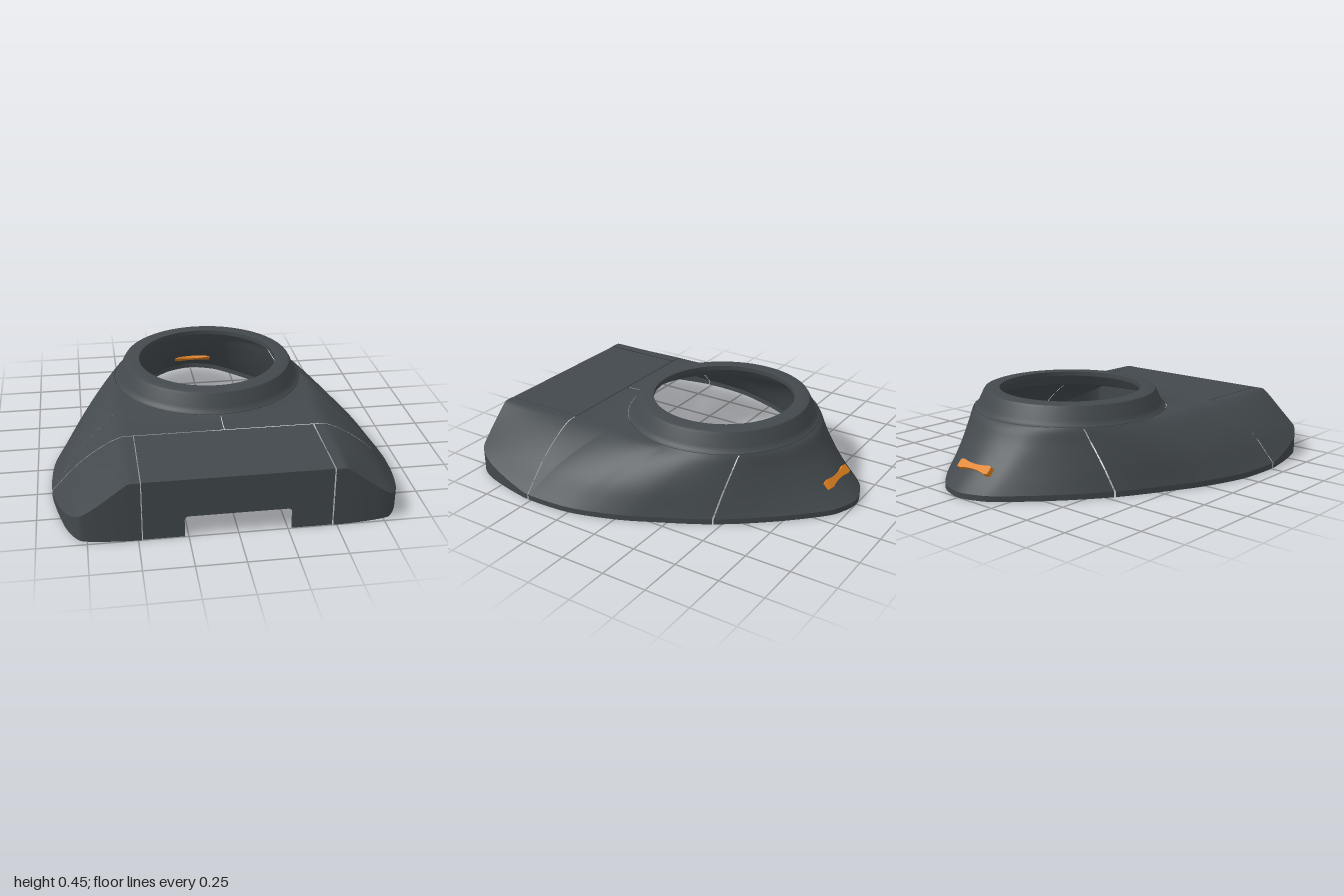
import * as THREE from 'three';
import { toCreasedNormals } from 'three/addons/utils/BufferGeometryUtils.js';

const RING_Z = -0.16, RING_R = 0.541, SEAM = 0.003, JOIN = 0.52;

// Smooth one-dimensional curve through a few values
function curve(xs, ys) {
  const c = new THREE.CubicInterpolant(xs, ys, 1);
  return (x) => c.evaluate(Math.min(xs[xs.length - 1], Math.max(xs[0], x)))[0];
}
// Height above the rim, from the outline (0) to the shoulder (1)
const sideHeight = curve([0, 0.1, 0.32, 0.58, 0.84, 1], [0.03, 0.07, 0.16, 0.24, 0.3, 0.325]);
const rearHeight = curve([0, 0.13, 0.43, 0.67, 0.8, 0.93, 1], [0.03, 0.06, 0.14, 0.22, 0.27, 0.33, 0.345]);

const spline = (pts) => new THREE.SplineCurve(pts.map(([x, y]) => new THREE.Vector2(x, y)));
// Half outline of the body, from the rear tip to the front joint
const outline = spline([[-0.1, -0.975], [0, -1], [0.1, -0.975], [0.2, -0.915], [0.4, -0.71], [0.592, -0.46],
  [0.75, -0.17], [0.83, 0], [0.9, 0.22], [0.92, 0.4], [0.92, JOIN - SEAM]]);
// Half outline of the front corner
const cornerLine = spline([[0.48 + SEAM, 1], [0.6, 0.995], [0.75, 0.975], [0.8, 0.945], [0.85, 0.85],
  [0.89, 0.7], [0.915, 0.57], [0.92, JOIN + SEAM]]);

// Grid surface from a rule fn(u, v) -> [x, y, z]
function patch(nu, nv, fn) {
  const pos = [], idx = [];
  for (let i = 0; i <= nu; i++) for (let j = 0; j <= nv; j++) pos.push(...fn(i / nu, j / nv));
  for (let i = 0; i < nu; i++) for (let j = 0; j < nv; j++) {
    const a = i * (nv + 1) + j, b = a + nv + 1;
    idx.push(a, a + 1, b, b, a + 1, b + 1);
  }
  const g = new THREE.BufferGeometry();
  g.setAttribute('position', new THREE.Float32BufferAttribute(pos, 3));
  g.setIndex(idx);
  g.computeVertexNormals();
  return g;
}

export function createModel() {
  const model = new THREE.Group();
  const shell = new THREE.MeshStandardMaterial({ color: 0x43494d, side: THREE.DoubleSide });
  shell.name = 'charcoal';
  const orange = new THREE.MeshStandardMaterial({ color: 0xe0821e });
  orange.name = 'orange';
  const add = (name, geo, mat = shell) => {
    const m = new THREE.Mesh(geo, mat);
    m.name = name;
    model.add(m);
    return m;
  };
  const lerp = THREE.MathUtils.lerp;
  const ringPoint = (deg) => {
    const a = THREE.MathUtils.degToRad(deg);
    return [RING_R * Math.sin(a), RING_Z - RING_R * Math.cos(a)];
  };

  for (const s of [1, -1]) {
    const side = s > 0 ? 'left' : 'right';

    // Curved skin between the collar and the outline
    const skin = (name, k0, k1, a0, a1) => {
      const edge = (u) => outline.getPoint(lerp(k0, k1, u) / 10);
      add(side + name, patch(36, 20, (u, t) => {
        const p = edge(u), [rx, rz] = ringPoint(lerp(a0, a1, u));
        const len = Math.hypot(p.x - rx, p.y - rz);
        const d = (1 - t) * len / Math.min(len, 0.47);
        const rear = THREE.MathUtils.smoothstep(-p.y, 0.2, 0.85);
        const y = lerp(sideHeight(d) + 0.02 * (1 - t) ** 3, rearHeight(d), rear);
        return [s * lerp(rx, p.x, t), y, lerp(rz, p.y, t)];
      }));
      add(side + name + 'Rim', patch(36, 1, (u, t) => {
        const p = edge(u);
        return [s * p.x, 0.03 * (1 - t), p.y];
      }));
    };
    skin('RearSkin', 1, 4.985, 0, 49.5);
    skin('SideSkin', 5.015, 10, 50.1, 126.5);

    // Bridge from the collar to the front joint
    add(side + 'Bridge', patch(36, 20, (u, t) => {
      const [rx, rz] = ringPoint(lerp(126.5, 179.8, u));
      const x = lerp(rx, lerp(0.92, 0.002, u), t);
      return [s * x, sideHeight((0.92 - x) / 0.38) + 0.02 * (1 - t) ** 3, lerp(rz, JOIN - SEAM, t)];
    }));

    // Front corner: sloping top and upright wall
    const cornerY = (x, z) => {
      const h = Math.min(1, (0.92 - x) / 0.38), f = (z - JOIN) / 0.48;
      return sideHeight(h) - 0.045 * f * f * Math.sin(Math.PI * h);
    };
    add(side + 'CornerTop', patch(48, 12, (u, t) => {
      const p = cornerLine.getPoint(u), z = lerp(JOIN + SEAM, p.y, t);
      return [s * p.x, cornerY(p.x, z), z];
    }));
    add(side + 'CornerWall', patch(48, 1, (u, t) => {
      const p = cornerLine.getPoint(u);
      return [s * p.x, cornerY(p.x, p.y) * (1 - t), p.y];
    }));
  }

  // Flat deck in the middle of the front
  const w = 0.48 - SEAM;
  const deck = add('frontDeck', new THREE.BoxGeometry(2 * w, 0.01, 0.992 - JOIN - SEAM));
  deck.position.set(0, 0.32, (0.992 + JOIN + SEAM) / 2);

  // Front wall with a rounded notch at the bottom
  const wall = new THREE.Shape();
  wall.moveTo(-w, 0);
  wall.lineTo(-0.27, 0);
  wall.lineTo(-0.27, 0.09);
  wall.quadraticCurveTo(-0.27, 0.115, -0.245, 0.115);
  wall.lineTo(0.245, 0.115);
  wall.quadraticCurveTo(0.27, 0.115, 0.27, 0.09);
  wall.lineTo(0.27, 0);
  wall.lineTo(w, 0);
  wall.lineTo(w, 0.325);
  wall.lineTo(-w, 0.325);
  const wallMesh = add('frontWall', new THREE.ExtrudeGeometry(wall, { depth: 0.012, bevelEnabled: false }));
  wallMesh.position.z = 0.984;

  // Raised collar around the round opening
  const profile = [[0.395, 0.425], [0.46, 0.425], [0.5, 0.35], [0.538, 0.338], [0.538, 0.346], [0.524, 0.355],
    [0.513, 0.375], [0.486, 0.432], [0.478, 0.445], [0.465, 0.45], [0.395, 0.45], [0.395, 0.425]];
  const collar = add('collar', toCreasedNormals(
    new THREE.LatheGeometry(profile.map(([r, y]) => new THREE.Vector2(r, y)), 96), 0.6));
  collar.position.z = RING_Z;

  // Waisted orange insert on the rear slope
  const tab = new THREE.Shape();
  tab.moveTo(-0.115, -0.022);
  tab.lineTo(-0.09, -0.026);
  tab.quadraticCurveTo(0, -0.004, 0.09, -0.026);
  tab.lineTo(0.115, -0.022);
  tab.lineTo(0.115, 0.022);
  tab.lineTo(0.09, 0.026);
  tab.quadraticCurveTo(0, 0.004, -0.09, 0.026);
  tab.lineTo(-0.115, 0.022);
  const insert = add('rearInsert', new THREE.ExtrudeGeometry(tab, { depth: 0.03, bevelEnabled: false }), orange);
  insert.rotation.set(Math.PI / 4, Math.PI, 0, 'YXZ');
  insert.rotation.x = -Math.PI / 4;
  insert.position.set(0, 0.12, -0.866);
  return model;
}
